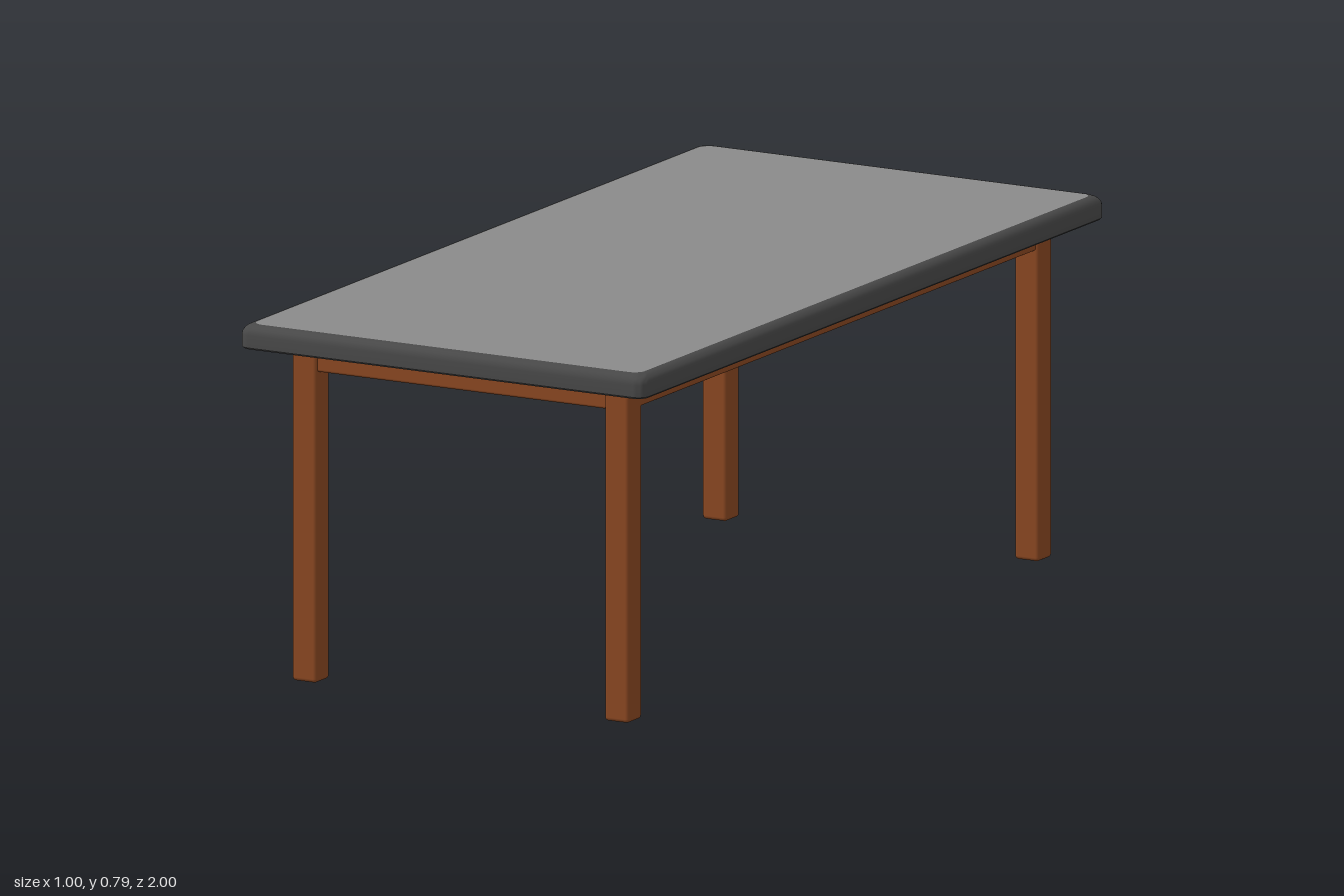
import * as THREE from 'three';
import { RoundedBoxGeometry } from 'three/addons/geometries/RoundedBoxGeometry.js';
import { toCreasedNormals } from 'three/addons/utils/BufferGeometryUtils.js';

const wood = new THREE.MeshStandardMaterial({ color: 0x8b4822 });
const rim = new THREE.MeshStandardMaterial({ color: 0x484848 });
const surface = new THREE.MeshStandardMaterial({ color: 0x8a8a8a });

const UNDERSIDE = 0.737, TOP = 0.79, LEG = 0.06, LEG_X = 0.385, LEG_Z = 0.885;

// Rounded rectangle outline, half sizes hx and hz, counter-clockwise
function outline(hx, hz, r, steps = 5) {
  const points = [];
  [[1, 1], [-1, 1], [-1, -1], [1, -1]].forEach(([sx, sz], corner) => {
    for (let i = 0; i <= steps; i++) {
      const a = (corner + i / steps) * Math.PI / 2;
      points.push(new THREE.Vector2(sx * (hx - r) + r * Math.cos(a), sz * (hz - r) + r * Math.sin(a)));
    }
  });
  return points;
}

// Edge band of the tabletop: a profile of [inset, y] lofted around the outline
function edgeGeometry(profile) {
  const positions = [], index = [];
  const n = outline(0.5, 1, 0.025).length;
  profile.forEach(([inset, y], k) => {
    outline(0.5 - inset, 1 - inset, 0.025).forEach(p => positions.push(p.x, y, -p.y));
    if (k === 0) return;
    for (let i = 0; i < n; i++) {
      const j = (i + 1) % n, a = (k - 1) * n, b = k * n;
      index.push(a + i, a + j, b + j, a + i, b + j, b + i);
    }
  });
  const g = new THREE.BufferGeometry();
  g.setAttribute('position', new THREE.Float32BufferAttribute(positions, 3));
  g.setIndex(index);
  return toCreasedNormals(g, 0.7);
}

function add(parent, name, geometry, material, x = 0, y = 0, z = 0) {
  const mesh = new THREE.Mesh(geometry, material);
  mesh.name = name;
  mesh.position.set(x, y, z);
  parent.add(mesh);
  return mesh;
}

export function createModel() {
  const table = new THREE.Group();
  table.name = 'table';

  // Tabletop: straight side, rounded upper edge, flat faces
  const tabletop = new THREE.Group();
  tabletop.name = 'tabletop';
  table.add(tabletop);
  const r = 0.022;
  const profile = [[0.004, UNDERSIDE], [0, UNDERSIDE + 0.004]];
  for (let i = 0; i <= 5; i++) {
    const a = i / 5 * Math.PI / 2;
    profile.push([r * (1 - Math.cos(a)), TOP - r + r * Math.sin(a)]);
  }
  add(tabletop, 'tabletopEdge', edgeGeometry(profile), rim);
  const face = inset => new THREE.ShapeGeometry(new THREE.Shape(outline(0.5 - inset, 1 - inset, 0.025)));
  add(tabletop, 'tabletopSurface', face(r).rotateX(-Math.PI / 2), surface, 0, TOP);
  add(tabletop, 'tabletopUnderside', face(0.004).rotateX(Math.PI / 2), rim, 0, UNDERSIDE);

  // Legs at the four corners
  const leg = new RoundedBoxGeometry(LEG, UNDERSIDE, LEG, 3, 0.008);
  for (const [side, sx] of [['Left', 1], ['Right', -1]])
    for (const [end, sz] of [['front', 1], ['back', -1]])
      add(table, `${end}${side}Leg`, leg, wood, sx * LEG_X, UNDERSIDE / 2, sz * LEG_Z);

  // Rails between the legs, under the tabletop
  const h = 0.054, t = 0.046, railY = UNDERSIDE - h / 2;
  const endRail = new RoundedBoxGeometry(2 * LEG_X - LEG + 0.02, h, t, 3, 0.006);
  const sideRail = new RoundedBoxGeometry(t, h, 2 * LEG_Z - LEG + 0.02, 3, 0.006);
  add(table, 'frontRail', endRail, wood, 0, railY, LEG_Z);
  add(table, 'backRail', endRail, wood, 0, railY, -LEG_Z);
  add(table, 'leftRail', sideRail, wood, LEG_X, railY, 0);
  add(table, 'rightRail', sideRail, wood, -LEG_X, railY, 0);

  return table;
}
